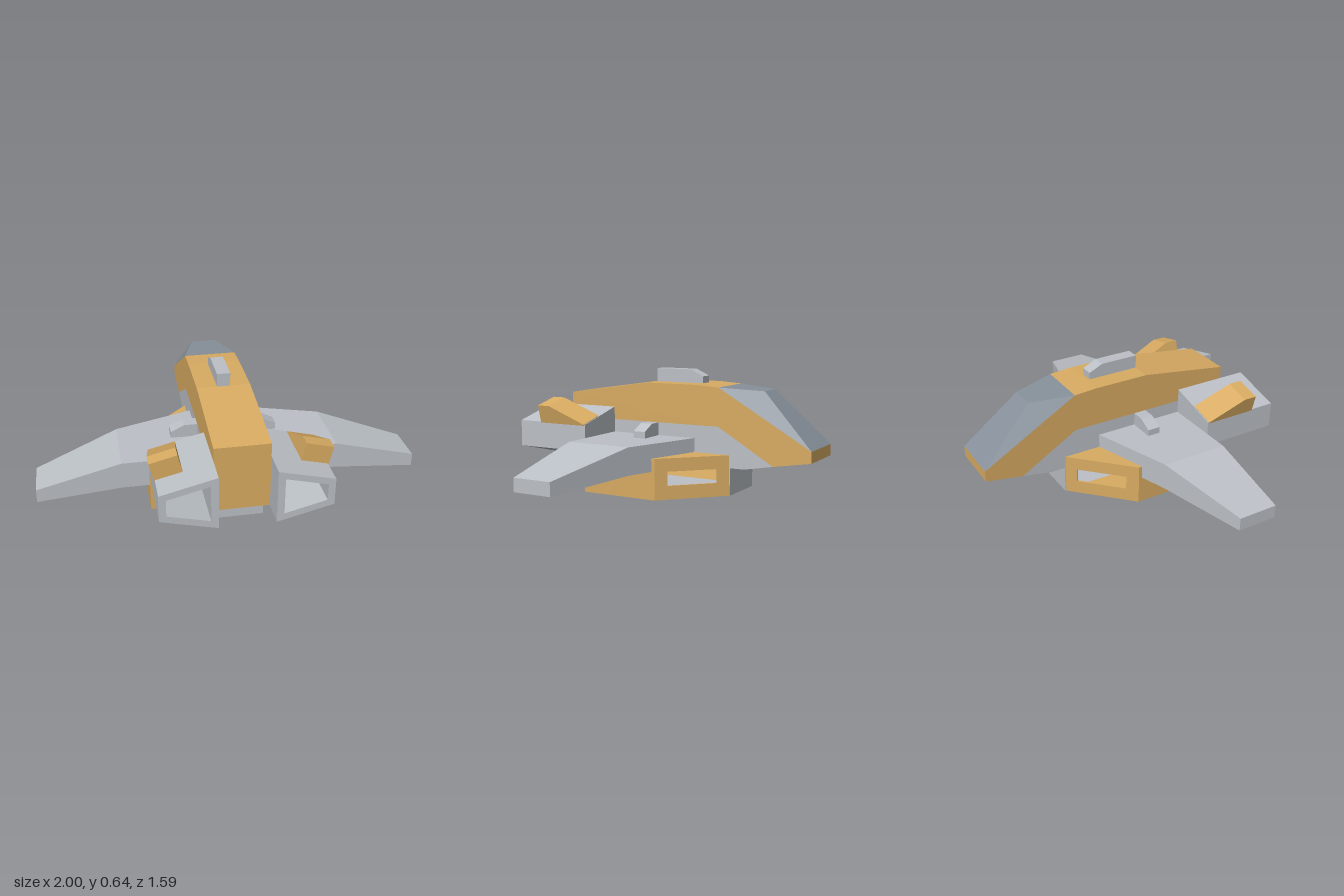
import * as THREE from 'three';
import { ConvexGeometry } from 'three/addons/geometries/ConvexGeometry.js';

const material = (name, color) => {
  const m = new THREE.MeshStandardMaterial({ color });
  m.name = name;
  return m;
};

const shapeOf = (pts) => new THREE.Shape(pts.map(([x, y]) => new THREE.Vector2(x, y)));
const extrude = (shape, depth) => new THREE.ExtrudeGeometry(shape, { depth, bevelEnabled: false });

// Side profile given as [z, y], extruded from x0 to x1
function sideExtrude(pts, x0, x1) {
  return extrude(shapeOf(pts.map(([z, y]) => [-z, y])), x1 - x0)
    .rotateY(Math.PI / 2).translate(x0, 0, 0);
}

// Plan outline given as [x, z], extruded upward from y
function planExtrude(pts, y, h) {
  return extrude(shapeOf(pts.map(([x, z]) => [x, -z])), h).rotateX(-Math.PI / 2).translate(0, y, 0);
}

// Box given by its limits
function box(x0, x1, y0, y1, z0, z1) {
  return new THREE.BoxGeometry(x1 - x0, y1 - y0, z1 - z0)
    .translate((x0 + x1) / 2, (y0 + y1) / 2, (z0 + z1) / 2);
}

// Four-cornered cross-sections [x, zLead, zTrail, yBottom, yTop] joined along x
function wingLoft(sections) {
  const rings = sections.map(([x, zl, zt, yb, yt]) =>
    [[x, yb, zl], [x, yt, zl], [x, yt, zt], [x, yb, zt]]);
  const pos = [];
  const quad = (a, b, c, d) => pos.push(...a, ...b, ...c, ...a, ...c, ...d);
  for (let i = 0; i < rings.length - 1; i++) {
    for (let k = 0; k < 4; k++) {
      const n = (k + 1) % 4;
      quad(rings[i][k], rings[i][n], rings[i + 1][n], rings[i + 1][k]);
    }
  }
  const [r, t] = [rings[0], rings[rings.length - 1]];
  quad(r[3], r[2], r[1], r[0]);
  quad(t[0], t[1], t[2], t[3]);
  const g = new THREE.BufferGeometry();
  g.setAttribute('position', new THREE.Float32BufferAttribute(pos, 3));
  g.computeVertexNormals();
  return g;
}

export function createModel() {
  const tan = material('tan hull', 0xd8ab62);
  const grey = material('light grey', 0xbcc1c7);
  const glass = material('canopy grey', 0x87919b);
  const model = new THREE.Group();
  model.name = 'spacecraft';
  const add = (parent, name, geometry, mat) => {
    const m = new THREE.Mesh(geometry, mat);
    m.name = name;
    parent.add(m);
  };

  // Fuselage: tan upper hull with a full tail plate, grey lower hull
  add(model, 'upperFuselage', sideExtrude([
    [0.65, 0.147], [0.65, 0.5], [0.15, 0.573], [-0.15, 0.573], [-0.28, 0.565], [-0.795, 0.27],
    [-0.795, 0.21], [-0.59, 0.176], [-0.28, 0.36], [0.642, 0.36], [0.642, 0.147]], -0.142, 0.142), tan);
  add(model, 'lowerFuselage', sideExtrude([
    [0.642, 0.147], [0.642, 0.36], [-0.28, 0.36], [-0.59, 0.176], [-0.43, 0.147]], -0.142, 0.142), grey);

  // Faceted canopy
  const canopy = [];
  for (const s of [-1, 1]) {
    canopy.push(new THREE.Vector3(0.142 * s, 0.565, -0.28), new THREE.Vector3(0.07 * s, 0.55, -0.51),
      new THREE.Vector3(0.142 * s, 0.27, -0.795));
  }
  add(model, 'canopy', new ConvexGeometry(canopy), glass);

  // Dorsal housing
  add(model, 'dorsalHousing', sideExtrude([
    [0.15, 0.56], [0.15, 0.645], [-0.06, 0.645], [-0.135, 0.61], [-0.135, 0.56]], -0.035, 0.035), grey);

  // Keel: floor, nose plate and tail block, hollow between
  add(model, 'keelFloor', box(-0.142, 0.142, 0, 0.01, -0.35, 0.37), grey);
  add(model, 'keelNosePlate', box(-0.142, 0.142, 0, 0.147, -0.35, -0.34), grey);
  add(model, 'keelTail', box(-0.142, 0.142, 0, 0.147, 0.36, 0.51), grey);

  for (const side of [1, -1]) {
    const half = new THREE.Group();
    half.name = side > 0 ? 'leftSide' : 'rightSide';
    half.scale.x = side;
    model.add(half);

    // Wing
    add(half, 'wing', wingLoft([
      [0.14, -0.14, 0.365, 0.147, 0.29], [0.565, 0.003, 0.365, 0.147, 0.29],
      [1, 0.15, 0.365, 0.11, 0.18]]), grey);

    // Small fairing on the wing root
    add(half, 'wingFairing', extrude(shapeOf([
      [0.14, 0.28], [0.285, 0.28], [0.285, 0.325], [0.212, 0.36], [0.14, 0.36]]), 0.07)
      .translate(0, 0, 0.08), grey);

    // Hollow lower hull with an open diagonal intake
    const plan = [[0.142, -0.345], [0.142, 0.37], [0.425, 0.37], [0.425, -0.062]];
    add(half, 'intakeFloor', planExtrude(plan, 0, 0.01), tan);
    add(half, 'intakeRoof', planExtrude(plan, 0.205, 0.01), tan);
    add(half, 'intakeSide', box(0.415, 0.425, 0, 0.215, -0.062, 0.37), tan);
    add(half, 'intakeRearPlate', box(0.142, 0.425, 0, 0.215, 0.362, 0.372), tan);
    const face = shapeOf([[0, 0], [0.4, 0], [0.4, 0.215], [0, 0.215]]);
    face.holes.push(new THREE.Path([[0.068, 0.072], [0.068, 0.146], [0.335, 0.146], [0.335, 0.072]]
      .map(([u, v]) => new THREE.Vector2(u, v))));
    add(half, 'intakeFace', extrude(face, 0.01).translate(0, 0, -0.01)
      .rotateY(Math.PI * 0.75).translate(0.425, 0, -0.062), tan);

    // Engine nacelle: tapered hollow duct with a closed inner end
    const outline = [[0.142, 0.147], [0.425, 0.218], [0.425, 0.36], [0.142, 0.43]];
    const duct = shapeOf(outline);
    duct.holes.push(new THREE.Path([[0.178, 0.192], [0.178, 0.386], [0.39, 0.333], [0.39, 0.245]]
      .map(([x, y]) => new THREE.Vector2(x, y))));
    add(half, 'nacelle', extrude(duct, 0.425).translate(0, 0, 0.37), grey);
    add(half, 'nacelleBackWall', extrude(shapeOf(outline), 0.005).translate(0, 0, 0.365), grey);

    // Wedge housing leaning on the nacelle roof
    add(half, 'nacelleWedge', sideExtrude([
      [0.655, -0.003], [0.655, 0.096], [0.582, 0.096], [0.37, 0.003], [0.37, -0.003]], 0, 0.143)
      .rotateZ(-0.245).translate(0.29, 0.393, 0), tan);
  }
  return model;
}
